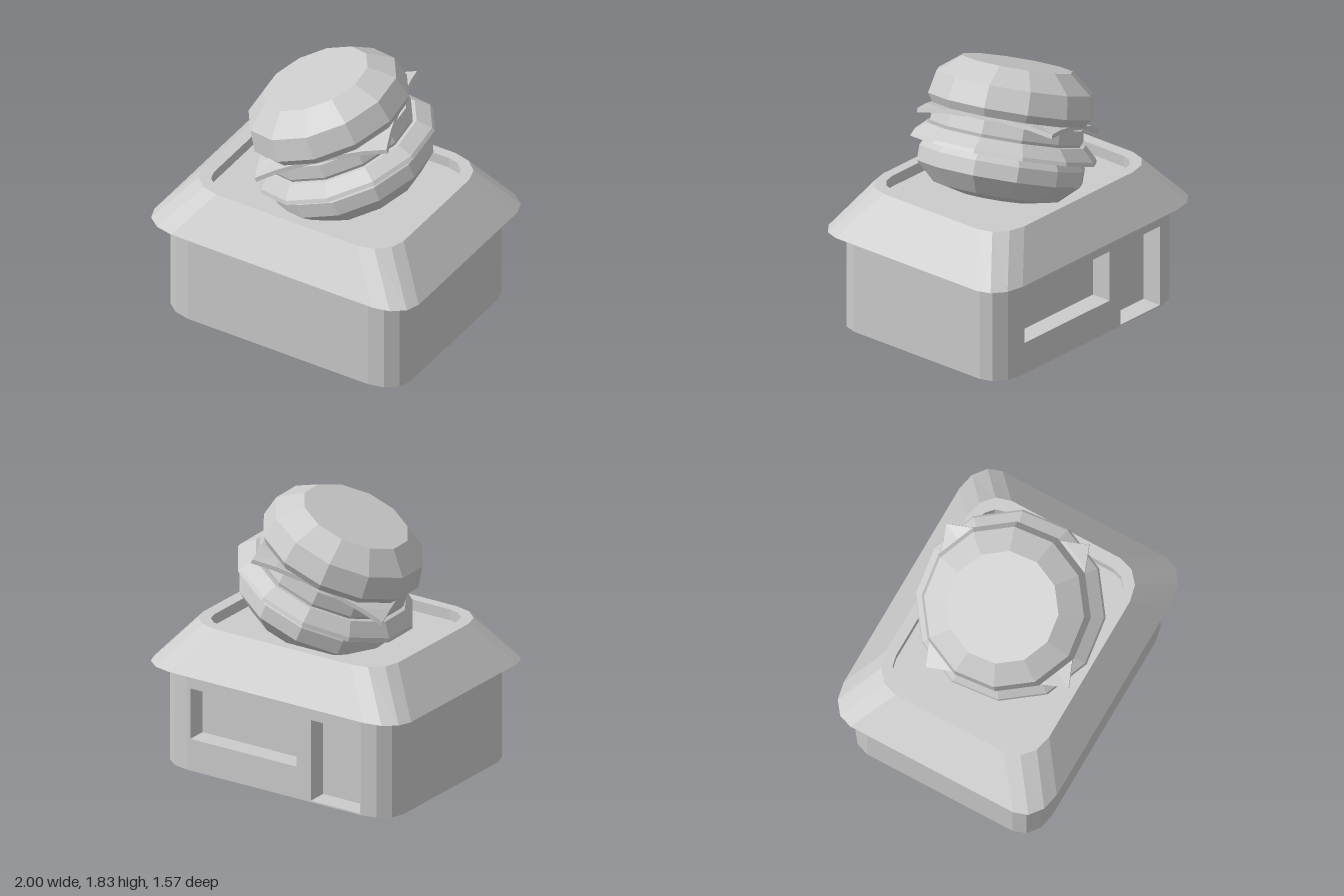
import * as THREE from 'three';

const material = new THREE.MeshStandardMaterial({ color: 0xcccccc, flatShading: true, side: THREE.DoubleSide });

function add(parent, name, geometry) {
  const mesh = new THREE.Mesh(geometry, material);
  mesh.name = name;
  parent.add(mesh);
  return mesh;
}

// Rectangle with three-facet corners, counter-clockwise from the +x side
function roundedOutline(hx, hy, rx, ry) {
  const points = [];
  for (let q = 0; q < 4; q++) {
    const sx = q === 0 || q === 3 ? 1 : -1;
    const sy = q < 2 ? 1 : -1;
    for (let j = 0; j < 4; j++) {
      const t = (q + j / 3) * Math.PI / 2;
      points.push(new THREE.Vector2(sx * (hx - rx) + rx * Math.cos(t), sy * (hy - ry) + ry * Math.sin(t)));
    }
  }
  return points;
}

// Joins rings of equal point count; each ring is [hx, hz, rx, rz, y]
function loft(rings) {
  const loops = rings.map(([hx, hz, rx, rz, y]) =>
    roundedOutline(hx, hz, rx, rz).map(p => new THREE.Vector3(p.x, y, p.y)));
  const corners = [];
  for (let i = 0; i < loops.length - 1; i++) {
    const n = loops[i].length;
    for (let k = 0; k < n; k++) {
      const a = loops[i][k], d = loops[i + 1][k];
      const b = loops[i][(k + 1) % n], c = loops[i + 1][(k + 1) % n];
      corners.push(a, c, b, a, d, c);
    }
  }
  const geometry = new THREE.BufferGeometry().setFromPoints(corners);
  geometry.computeVertexNormals();
  return geometry;
}

// Wall layer between two heights, with recesses cut into the back side
function wallLayer(y0, y1, recesses) {
  const hz = 0.705, depth = 0.14;
  const outline = roundedOutline(0.895, hz, 0.215, 0.17);
  const cuts = recesses.flatMap(([from, to]) => [
    new THREE.Vector2(from, hz), new THREE.Vector2(from, hz - depth),
    new THREE.Vector2(to, hz - depth), new THREE.Vector2(to, hz)]);
  outline.splice(4, 0, ...cuts);
  const geometry = new THREE.ExtrudeGeometry(new THREE.Shape(outline), { depth: y1 - y0, bevelEnabled: false });
  return geometry.rotateX(-Math.PI / 2).translate(0, y0, 0);
}

// Twelve-sided burger layer from [radius, height] pairs
function layer(profile) {
  return new THREE.LatheGeometry(profile.map(([r, y]) => new THREE.Vector2(r, y)), 12, THREE.MathUtils.degToRad(22));
}

export function createModel() {
  const model = new THREE.Group();

  // Building walls with a wide window and a door at the back
  const walls = new THREE.Group();
  walls.name = 'walls';
  model.add(walls);
  const windowCut = [0.65, -0.18], doorCut = [-0.29, -0.675];
  add(walls, 'wallFoot', wallLayer(0, 0.01, []));
  add(walls, 'wallBelowWindow', wallLayer(0.01, 0.22, [doorCut]));
  add(walls, 'wallAroundWindow', wallLayer(0.22, 0.57, [windowCut, doorCut]));
  add(walls, 'wallTop', wallLayer(0.57, 0.685, []));

  // Sloping roof with a sunken flat top
  add(model, 'roof', loft([
    [0, 0, 0, 0, 0.685],
    [1, 0.785, 0.24, 0.185, 0.685],
    [0.76, 0.6, 0.23, 0.2, 0.975],
    [0.675, 0.53, 0.15, 0.13, 0.975],
    [0.675, 0.53, 0.15, 0.13, 0.9],
    [0, 0, 0, 0, 0.9],
  ]));

  // Tilted burger sitting in the roof
  const burger = new THREE.Group();
  burger.name = 'burger';
  burger.position.set(-0.01, 1.38, 0);
  burger.rotation.set(0.105, 0, 0.37);
  model.add(burger);

  add(burger, 'bottomBun', layer([
    [0, -0.53], [0.25, -0.53], [0.42, -0.49], [0.55, -0.37], [0.55, -0.27], [0.5, -0.2], [0, -0.2]]));
  add(burger, 'lettuce', layer([
    [0.45, -0.21], [0.62, -0.22], [0.61, -0.195], [0.53, -0.12], [0.42, -0.12]]));
  add(burger, 'patty', layer([
    [0, -0.2], [0.47, -0.2], [0.51, -0.1], [0.5, -0.01], [0, -0.01]]));
  add(burger, 'topBun', layer([
    [0, 0.015], [0.51, 0.015], [0.55, 0.07], [0.52, 0.22], [0.365, 0.34], [0, 0.34]]));

  // Square cheese slice with drooping corners
  const slice = new THREE.BoxGeometry(0.93, 0.03, 0.93, 6, 1, 6);
  const pos = slice.attributes.position;
  for (let i = 0; i < pos.count; i++) {
    const r = Math.hypot(pos.getX(i), pos.getZ(i));
    pos.setY(i, pos.getY(i) - 0.25 * Math.max(0, r - 0.52));
  }
  slice.computeVertexNormals();
  add(burger, 'cheese', slice).rotation.y = 0.37;

  return model;
}
